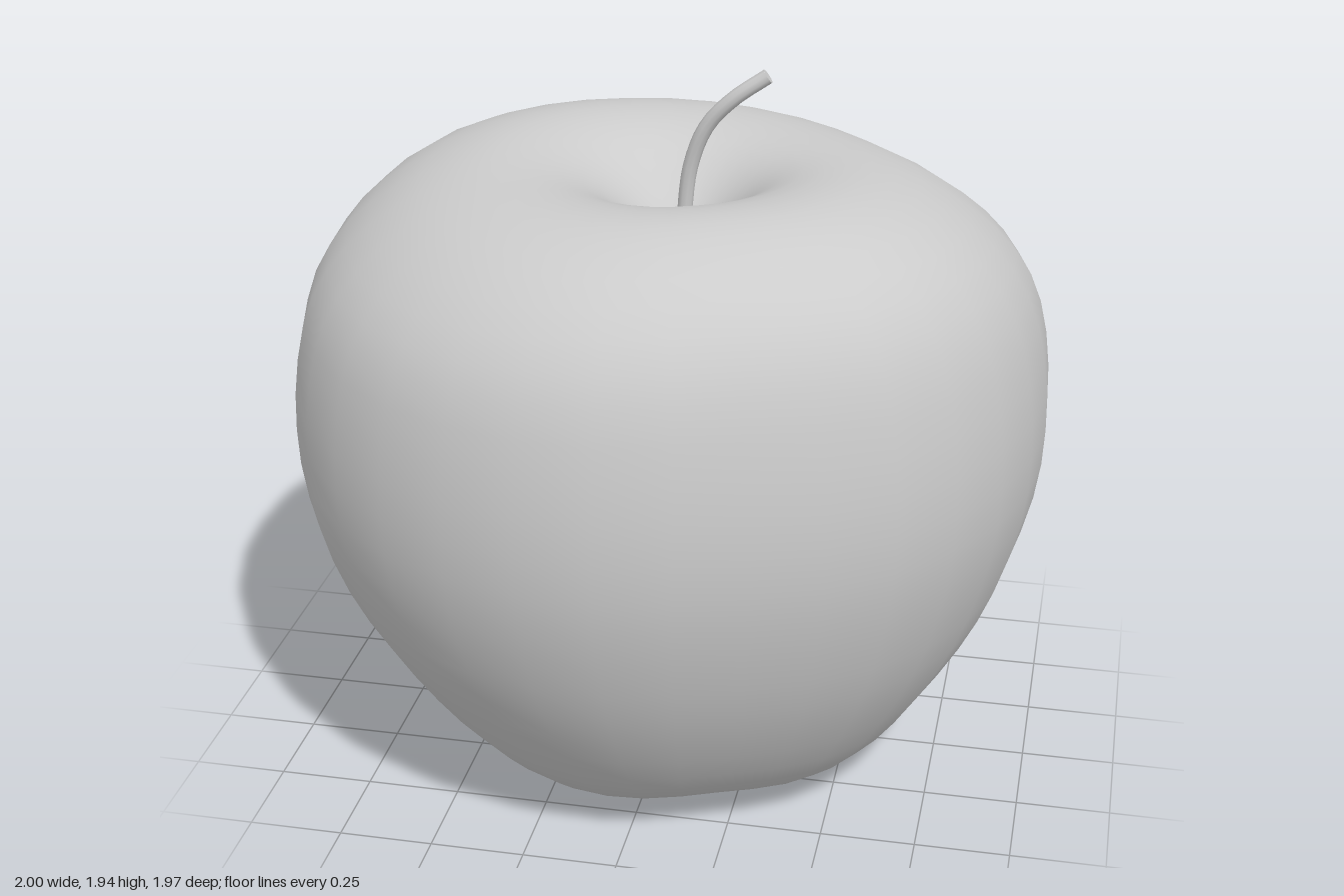
import * as THREE from 'three';
import { mergeVertices } from 'three/addons/utils/BufferGeometryUtils.js';

const grey = new THREE.MeshStandardMaterial({ color: 0xcccccc });

// Radius of the widest outline every 22.5 degrees, from +z towards +x
const OUTLINE = [0.98, 0.94, 0.975, 0.99, 1, 1.02, 0.995, 1.005,
  0.99, 0.966, 0.972, 0.995, 1, 1.01, 1.01, 1];

function outlineAt(angle) {
  const n = OUTLINE.length;
  const f = ((angle / (2 * Math.PI)) * n + n) % n;
  const i = Math.floor(f), t = f - i;
  const [a, b, c, d] = [-1, 0, 1, 2].map((k) => OUTLINE[(i + k + n) % n]);
  return b + 0.5 * t * (c - a + t * (2 * a - 5 * b + 4 * c - d + t * (3 * (b - c) + d - a)));
}

// Fruit: a lathed profile, made irregular by the outline, a drift of its axis,
// three shallow lobes underneath and an uneven shoulder
function makeFruit() {
  const profile = [
    [0, 0.15], [0.07, 0.135], [0.15, 0.094], [0.24, 0.058], [0.35, 0.036], [0.46, 0.055], [0.58, 0.13],
    [0.695, 0.245], [0.82, 0.42], [0.915, 0.6], [0.98, 0.8], [1, 1], [0.985, 1.2],
    [0.935, 1.38], [0.84, 1.52], [0.71, 1.62], [0.58, 1.673], [0.46, 1.692], [0.34, 1.68],
    [0.24, 1.64], [0.16, 1.58], [0.1, 1.52], [0.05, 1.46], [0, 1.43],
  ].map(([r, y]) => new THREE.Vector2(r, y));
  const points = new THREE.SplineCurve(profile).getPoints(46);
  points[0].x = points[46].x = 0;
  let geo = new THREE.LatheGeometry(points, 32);

  const pos = geo.attributes.position;
  const { smoothstep } = THREE.MathUtils;
  for (let i = 0; i < pos.count; i++) {
    let x = pos.getX(i), y = pos.getY(i), z = pos.getZ(i);
    const r = Math.hypot(x, z);
    const low = 1 - smoothstep(y, 0.1, 0.8);
    const high = smoothstep(y, 1.2, 1.65);
    const k = 1 + (outlineAt(Math.atan2(x, z)) - 1) * smoothstep(r, 0, 0.7);
    const lobe = Math.cos(3 * (Math.atan2(z, x) - 0.12));
    const rim = smoothstep(r, 0.06, 0.33) * (1 - smoothstep(r, 0.42, 0.8));
    const pit = y > 1 ? 1 - smoothstep(r, 0, 0.4) : 0;
    x = x * k + 0.03 * low + 0.03 * pit;
    z = z * k + 0.035 * low + 0.03 * high * (1 - pit) + 0.03 * pit;
    y -= (0.022 * lobe + 0.03 * (x + z)) * rim * low;
    y += (0.1 * x * z - 0.015 * x) * high;
    pos.setXYZ(i, x, y, z);
  }
  // Weld the seam so the shading runs smoothly round
  geo.deleteAttribute('uv');
  geo.deleteAttribute('normal');
  geo = mergeVertices(geo, 1e-4);
  geo.computeVertexNormals();
  const mesh = new THREE.Mesh(geo, grey);
  mesh.name = 'fruit';
  return mesh;
}

// Stem: a bent tube with a flat cut end
function makeStem() {
  const stem = new THREE.Group();
  stem.name = 'stem';
  const path = new THREE.CatmullRomCurve3([
    [0.03, 1.4, 0.03], [0.035, 1.54, 0.025], [0.052, 1.68, 0.028],
    [0.095, 1.79, 0.037], [0.165, 1.868, 0.042], [0.25, 1.928, 0.03],
  ].map((p) => new THREE.Vector3(...p)));
  const radius = 0.02, sides = 10;
  const tube = new THREE.Mesh(new THREE.TubeGeometry(path, 20, radius, sides), grey);
  tube.name = 'stalk';
  const end = new THREE.Mesh(new THREE.CircleGeometry(radius, sides), grey);
  end.name = 'stalkEnd';
  end.position.copy(path.getPoint(1));
  end.quaternion.setFromUnitVectors(new THREE.Vector3(0, 0, 1), path.getTangent(1));
  stem.add(tube, end);
  return stem;
}

// Dried blossom: a ring of small pointed sepals in the lower hollow
function makeBlossom() {
  const blossom = new THREE.Group();
  blossom.name = 'blossom';
  const count = 8;
  for (let i = 0; i < count; i++) {
    const sepal = new THREE.Mesh(new THREE.ConeGeometry(0.014, 0.075, 6), grey);
    sepal.name = 'sepal';
    const a = (i / count) * 2 * Math.PI;
    const dir = new THREE.Vector3(Math.cos(a), -0.7, Math.sin(a)).normalize();
    sepal.quaternion.setFromUnitVectors(new THREE.Vector3(0, 1, 0), dir);
    sepal.position.copy(dir).multiplyScalar(0.036);
    blossom.add(sepal);
  }
  blossom.position.set(0.03, 0.146, 0.035);
  return blossom;
}

export function createModel() {
  const model = new THREE.Group();
  model.name = 'apple';
  model.add(makeFruit(), makeStem(), makeBlossom());
  return model;
}
